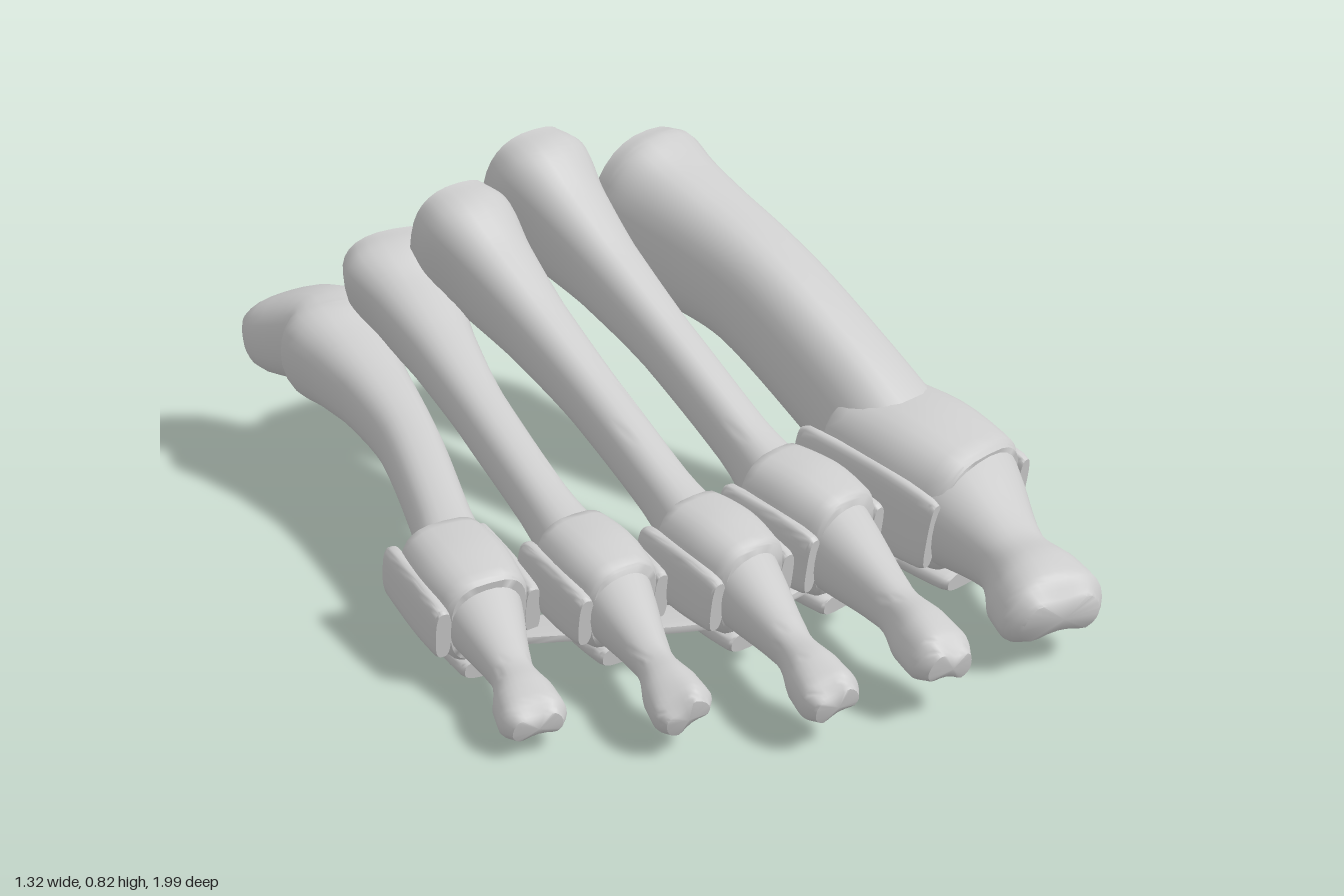
import * as THREE from 'three';
import { toCreasedNormals } from 'three/addons/utils/BufferGeometryUtils.js';

const V = (x, y, z) => new THREE.Vector3(x, y, z);
const lerp = THREE.MathUtils.lerp;
const material = new THREE.MeshStandardMaterial({ color: 0xcccccc });

// Solid loft through stations { p: centre, w: half width, h: half height, taper: extra width at the top }.
// power: squareness, roll: twist of sections, groove: notch in the far end, bulge: end caps.
function loft(name, stations, { power = 2.3, roll = 0, groove = 0, bulge = 0, rows = 28, sides = 28 } = {}) {
  const path = new THREE.CatmullRomCurve3(stations.map((s) => s.p));
  const size = new THREE.CatmullRomCurve3(stations.map((s) => V(s.w, s.h, s.taper || 0)));
  const pos = [], index = [];
  const sp = (c) => Math.sign(c) * Math.abs(c) ** (2 / power);
  for (let i = 0; i <= rows; i++) {
    const t = i / rows, c = path.getPoint(t), q = size.getPoint(t), T = path.getTangent(t);
    const S = V(0, 1, 0).cross(T).normalize().applyAxisAngle(T, roll * t);
    const U = T.clone().cross(S);
    for (let j = 0; j < sides; j++) {
      const a = (j / sides) * Math.PI * 2, v = sp(Math.sin(a));
      const u = sp(Math.cos(a)) * (1 + q.z * v);
      const notch = 1 - groove * t ** 4 * Math.max(0, 1 - 2 * u * u);
      const p = c.clone().addScaledVector(S, u * q.x).addScaledVector(U, v * q.y * notch);
      pos.push(p.x, p.y, p.z);
    }
  }
  for (let i = 0; i < rows; i++) {
    for (let j = 0; j < sides; j++) {
      const a = i * sides + j, b = i * sides + (j + 1) % sides;
      index.push(a, b, a + sides, b, b + sides, a + sides);
    }
  }
  for (const end of [0, 1]) {
    const c = path.getPoint(end).addScaledVector(path.getTangent(end), bulge * (end ? 1 : -1));
    const k = pos.length / 3, o = end * rows * sides;
    pos.push(c.x, c.y, c.z);
    for (let j = 0; j < sides; j++) {
      const a = o + j, b = o + (j + 1) % sides;
      index.push(k, end ? a : b, end ? b : a);
    }
  }
  const g = new THREE.BufferGeometry();
  g.setAttribute('position', new THREE.Float32BufferAttribute(pos, 3));
  g.setIndex(index);
  const mesh = new THREE.Mesh(toCreasedNormals(g, 0.8), material);
  mesh.name = name;
  return mesh;
}

// base, mid, joint, toe: points along the ray; wide, high: half size of the joint;
// baseW, baseH: half size of the base; shaft: half width of the shaft
const rays = [
  { name: 'first', base: V(0.475, 0.6, -0.395), mid: V(0.487, 0.49, 0), joint: V(0.48, 0.215, 0.465), toe: V(0.345, 0.135, 0.93),
    wide: 0.163, high: 0.165, baseW: 0.152, baseH: 0.2, shaft: 0.114, roll: 0 },
  { name: 'second', base: V(0.22, 0.7, -0.5), mid: V(0.19, 0.455, 0), joint: V(0.148, 0.215, 0.44), toe: V(0.04, 0.135, 0.89),
    wide: 0.108, high: 0.135, baseW: 0.11, baseH: 0.155, shaft: 0.055, roll: -0.2 },
  { name: 'third', base: V(0.02, 0.63, -0.52), mid: V(-0.022, 0.39, 0), joint: V(-0.088, 0.2, 0.42), toe: V(-0.195, 0.115, 0.81),
    wide: 0.1, high: 0.12, baseW: 0.102, baseH: 0.14, shaft: 0.054, roll: 0.35 },
  { name: 'fourth', base: V(-0.03, 0.5, -0.66), mid: V(-0.167, 0.34, -0.2), joint: V(-0.28, 0.175, 0.265), toe: V(-0.41, 0.1, 0.63),
    wide: 0.098, high: 0.113, baseW: 0.125, baseH: 0.125, shaft: 0.053, roll: 0.6 },
  { name: 'fifth', base: V(-0.155, 0.345, -0.74), mid: V(-0.265, 0.262, -0.33), joint: V(-0.46, 0.145, 0.07), toe: V(-0.605, 0.075, 0.43),
    wide: 0.108, high: 0.112, baseW: 0.125, baseH: 0.125, shaft: 0.062, roll: 0.1 },
];

function buildRay({ name, base, mid, joint, toe, wide, high, baseW, baseH, shaft, roll }, i) {
  const ray = new THREE.Group();
  ray.name = `${name}Ray`;
  const len = wide * 1.02, last = i === 4;
  const dir = V(-0.09 * Math.max(0, i - 1), -0.13, 1).normalize();
  const side = V(0, 1, 0).cross(dir).normalize();

  // Long bone: flared base, slim shaft, rounded head inside the joint
  const axis = new THREE.CatmullRomCurve3([base, mid, joint]);
  const wedge = i === 0 || last ? 0.05 : 0.25;
  const bone = [[0, 0.8], [0.06, 1], [0.16, 0.65], [0.3, 0.28], [0.5, 0.04], [0.78, 0]].map(([t, flare]) => ({
    p: axis.getPoint(t), w: lerp(shaft, baseW, flare), h: lerp(shaft * 1.18, baseH, flare), taper: wedge * flare,
  }));
  bone.push({ p: joint, w: wide * 0.78, h: high * 0.75 });
  // The outer bone carries a tapering rear knob
  if (last) bone.unshift({ p: V(-0.18, 0.3, -0.985), w: 0.03, h: 0.035 }, { p: V(-0.18, 0.31, -0.9), w: 0.085, h: 0.085 });
  ray.add(loft(`${name}Metatarsal`, bone, { power: 2.5, bulge: last ? 0.012 : -0.015, rows: 36 }));

  // Toe bone: broad base, narrow waist and a grooved two-lobed end
  const start = joint.clone().addScaledVector(dir, len * 0.55);
  const scale = i === 0 ? 1.12 : 0.97;
  const profile = [[0, 0.85, 0.8], [0.22, 0.7, 0.66], [0.58, 0.44, 0.43], [0.84, 0.6, 0.48], [0.98, 0.64, 0.46], [1.08, 0.48, 0.3]];
  ray.add(loft(`${name}Phalanx`, profile.map(([t, a, b]) => ({
    p: start.clone().lerp(toe, t), w: a * wide * scale, h: b * high * scale, taper: t > 0.7 ? -0.15 : 0,
  })), { groove: 0.4, roll, bulge: 0.008 }));

  // Rounded block along the joint axis, shifted sideways and vertically
  const sleeve = (part, w, h, reach, dx, dy) => {
    const sections = [[-reach, 0.83], [-reach * 0.92, 0.92], [0, 1], [0.9, 0.88], [1, 0.8]];
    ray.add(loft(`${name}${part}`, sections.map(([t, k]) => ({
      p: joint.clone().addScaledVector(dir, t * len).addScaledVector(side, dx).add(V(0, dy, 0)), w: w * k, h: h * k,
    })), { power: 3, rows: 16 }));
  };
  sleeve('Capsule', wide * 0.96, high, 1, 0, 0);
  sleeve('PlantarPlate', wide * 0.64, 0.028, 1.15, 0, -high * 0.95);
  for (const s of [-1, 1]) sleeve('SideLigament', 0.021, high * 0.58, 1.25, s * wide * 0.92, -high * 0.08);
  return ray;
}

export function createModel() {
  const model = new THREE.Group();
  model.name = 'forefootBones';
  rays.forEach((ray, i) => model.add(buildRay(ray, i)));

  // Flat strap joining the undersides of the joints
  model.add(loft('transverseLigament', [...rays].reverse().map(({ joint, high }) => (
    { p: joint.clone().add(V(0, 0.02 - high, 0.025)), w: 0.045, h: 0.012 }
  )), { power: 4, rows: 40, sides: 16 }));

  // Pair of small round bones under the big joint
  for (const x of [0.42, 0.54]) {
    const sesamoid = new THREE.Mesh(new THREE.SphereGeometry(1, 24, 16), material);
    sesamoid.name = 'sesamoid';
    sesamoid.scale.set(0.048, 0.045, 0.07);
    sesamoid.position.set(x, 0.105, 0.3);
    model.add(sesamoid);
  }
  return model;
}
